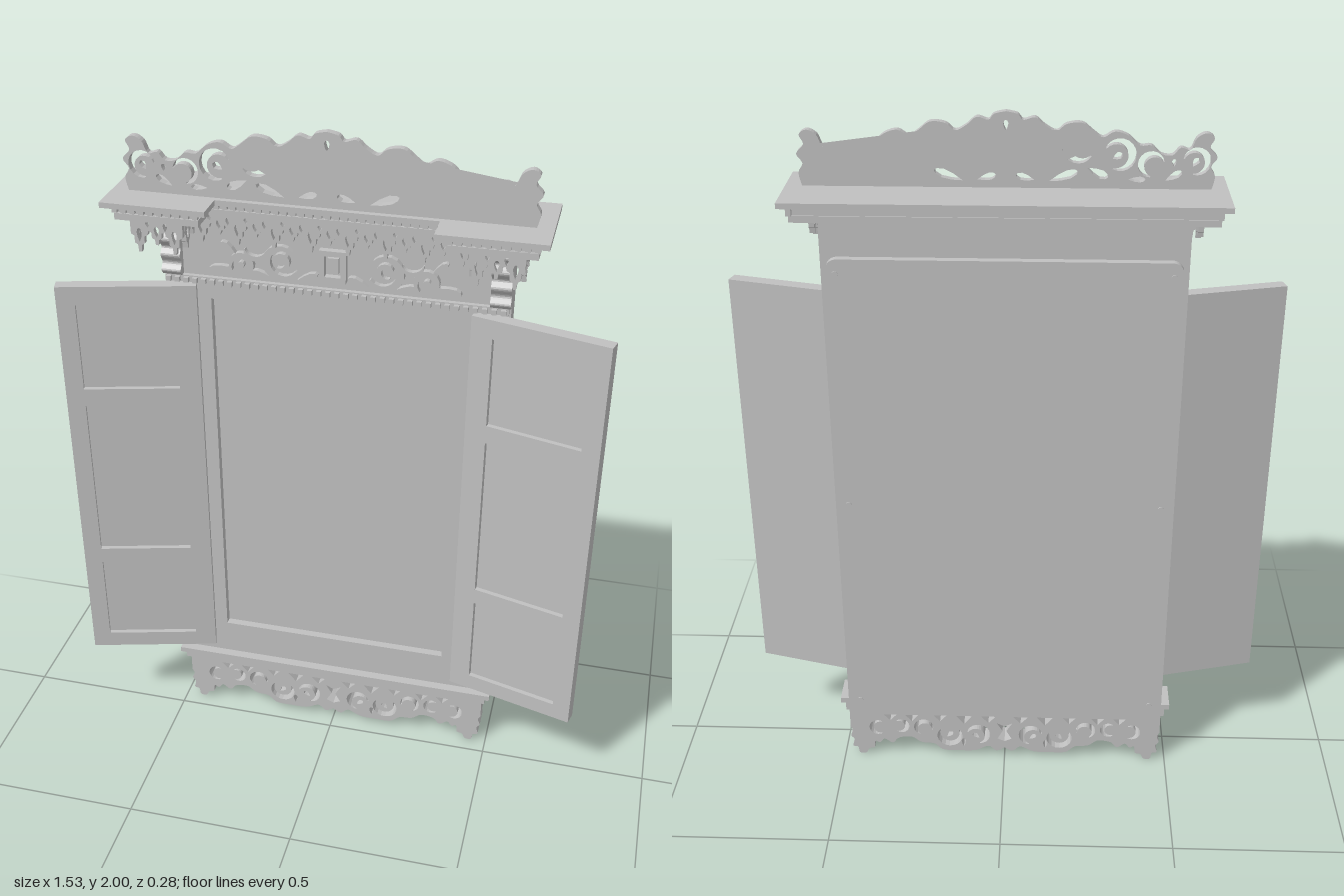
import * as THREE from 'three';

const grey = new THREE.MeshStandardMaterial({ color: 0xc0c0c0 });
grey.name = 'plain grey';

const V = (x, y) => new THREE.Vector2(x, y);
const flip = (pts) => pts.map((p) => V(-p.x, p.y)).reverse();

function add(parent, name, geo) {
  const m = new THREE.Mesh(geo, grey);
  m.name = name;
  parent.add(m);
  return m;
}

// Box given by its limits
function block(parent, name, x0, x1, y0, y1, z0, z1) {
  const g = new THREE.BoxGeometry(x1 - x0, y1 - y0, z1 - z0);
  return add(parent, name, g.translate((x0 + x1) / 2, (y0 + y1) / 2, (z0 + z1) / 2));
}

// Flat board cut from an outline, with holes, between two depths
function board(outline, holes, z0, z1) {
  const s = new THREE.Shape(outline);
  holes.forEach((h) => s.holes.push(new THREE.Path(h)));
  return new THREE.ExtrudeGeometry(s, { depth: z1 - z0, bevelEnabled: false }).translate(0, 0, z0);
}

const rect = (x0, x1, y0, y1) => [V(x0, y0), V(x1, y0), V(x1, y1), V(x0, y1)];
const smooth = (pts, n) => new THREE.SplineCurve(pts.map((p) => V(p[0], p[1]))).getPoints(n);

// Tapered curl, angles in degrees
function curl(cx, cy, r, a0, a1, w) {
  const out = [], back = [];
  for (let i = 0; i <= 14; i++) {
    const t = i / 14, a = THREE.MathUtils.degToRad(a0 + (a1 - a0) * t);
    const h = (w / 2) * (0.15 + 0.85 * Math.sin(Math.PI * t));
    out.push(V(cx + (r + h) * Math.cos(a), cy + (r + h) * Math.sin(a)));
    back.unshift(V(cx + (r - h) * Math.cos(a), cy + (r - h) * Math.sin(a)));
  }
  return out.concat(back);
}

// Pointed leaf along a direction
function leaf(cx, cy, len, w, deg) {
  const a = THREE.MathUtils.degToRad(deg), c = Math.cos(a), s = Math.sin(a);
  return [[-0.5, 0], [-0.15, -0.35], [0.2, -0.5], [0.42, -0.3], [0.5, 0], [0.42, 0.3], [0.2, 0.5], [-0.15, 0.35]]
    .map(([u, v]) => V(cx + u * len * c - v * w * s, cy + u * len * s + v * w * c));
}
const tri = (x, y, w, h) => [V(x - w / 2, y), V(x, y - h), V(x + w / 2, y)];
const mirrored = (list) => list.flatMap((h) => [h, flip(h)]);

// Hanging fringe: row of stepped drops with a small eyelet in each
function fringe(x0, x1, yTop, count, drops, z0, z1) {
  const p = [V(x0, yTop)], holes = [], w = (x1 - x0) / count;
  for (let i = 0; i < count; i++) {
    const a = x0 + i * w, d = drops[i % drops.length];
    [[0.02, 0.5], [0.2, 0.55], [0.22, 0.75], [0.38, 0.8], [0.42, 1], [0.58, 1], [0.62, 0.8], [0.78, 0.75], [0.8, 0.55], [0.98, 0.5]]
      .forEach(([u, v]) => p.push(V(a + u * w, yTop - v * d)));
    holes.push(leaf(a + w / 2, yTop - d * 0.52, d * 0.4, w * 0.3, 90));
    if (i) holes.push(leaf(a, yTop - d * 0.25, d * 0.25, w * 0.25, 90));
  }
  p.push(V(x1, yTop));
  return board(p, holes, z0, z1);
}

// Cornice plan: a slab with two projecting ends
function cornicePlan(inset, y0, y1) {
  const X = 0.58 - inset, N = 0.295 + inset, F = 0.135 - inset, M = 0.05 - inset, B = -0.14 + inset * 0.5;
  const p = [[-X, B], [-X, F], [-N, F], [-N, M], [N, M], [N, F], [X, F], [X, B]].map(([x, z]) => V(x, -z));
  return board(p, [], y0, y1).rotateX(-Math.PI / 2);
}

function makeDoor(side) {
  const door = new THREE.Group();
  door.name = side > 0 ? 'leftDoor' : 'rightDoor';
  const W = 0.388, r = (a, b, c, d) => (side > 0 ? rect(a, b, c, d) : rect(-b, -a, c, d));
  const panes = [[0.31, 0.59], [0.64, 1.145], [1.2, 1.465]].map(([a, b]) => r(0.062, 0.336, a, b));
  add(door, 'doorFrame', board(r(0, W, 0.26, 1.52), panes, 0.024, 0.038));
  add(door, 'doorPanel', board(r(0, W, 0.26, 1.52), [], 0, 0.024));
  door.position.set(side * 0.39, 0, -0.048);
  door.rotation.y = -side * Math.PI / 12;
  return door;
}

export function createModel() {
  const model = new THREE.Group();
  model.name = 'carvedCabinet';

  // Case: front frame, recessed field and back board
  add(model, 'frontFrame', board(rect(-0.48, 0.48, 0.215, 1.75), [rect(-0.35, 0.345, 0.325, 1.47)], -0.068, -0.045));
  block(model, 'caseBody', -0.48, 0.48, 0.215, 1.75, -0.112, -0.068);
  const backShape = new THREE.Shape();
  const bx = 0.465, b0 = 0.19, b1 = 1.65, br = 0.03;
  backShape.moveTo(-bx + br, b0).lineTo(bx - br, b0);
  backShape.absarc(bx - br, b0 + br, br, -Math.PI / 2, 0);
  backShape.absarc(bx - br, b1 - br, br, 0, Math.PI / 2);
  backShape.absarc(-bx + br, b1 - br, br, Math.PI / 2, Math.PI);
  backShape.absarc(-bx + br, b0 + br, br, Math.PI, Math.PI * 1.5);
  add(model, 'backBoard', new THREE.ExtrudeGeometry(backShape, { depth: 0.022, bevelEnabled: false, curveSegments: 6 }).translate(0, 0, -0.134));
  for (const x of [-0.44, 0.44]) for (const y of [0.23, 0.92, 1.61]) {
    add(model, 'screw', new THREE.CylinderGeometry(0.008, 0.008, 0.004, 12).rotateX(Math.PI / 2).translate(x, y, -0.135));
  }
  model.add(makeDoor(1), makeDoor(-1));

  // Lower ledge
  block(model, 'ledgeTop', -0.505, 0.505, 0.198, 0.215, -0.112, -0.018);
  block(model, 'ledgeBottom', -0.49, 0.49, 0.172, 0.198, -0.112, -0.03);

  // Pierced apron with feet
  const low = smooth([[0, 0.035], [0.025, 0.022], [0.05, 0.04], [0.09, 0.022], [0.14, 0.02], [0.19, 0.022], [0.22, 0.045], [0.26, 0.05],
    [0.29, 0.07], [0.33, 0.065], [0.35, 0.045], [0.375, 0.06], [0.39, 0.045], [0.405, 0.05], [0.408, 0.025], [0.425, 0.02], [0.435, 0.003],
    [0.455, 0.003], [0.46, 0.025], [0.475, 0.03], [0.47, 0.055], [0.48, 0.07], [0.473, 0.09], [0.48, 0.105]], 90);
  const apronEdge = [...flip(low), ...low.slice(1), V(0.48, 0.172), V(-0.48, 0.172)];
  const apronHoles = mirrored([
    curl(0.085, 0.082, 0.032, 20, 255, 0.02), curl(0.17, 0.082, 0.034, 150, 395, 0.02),
    curl(0.25, 0.105, 0.026, -60, 190, 0.016), curl(0.325, 0.112, 0.022, 60, 300, 0.014), curl(0.39, 0.105, 0.024, -110, 110, 0.014),
    leaf(0.088, 0.08, 0.026, 0.016, 40), leaf(0.17, 0.083, 0.026, 0.016, 130), leaf(0.127, 0.052, 0.03, 0.014, 90),
    tri(0.05, 0.155, 0.045, 0.025), tri(0.125, 0.155, 0.05, 0.03), tri(0.2, 0.155, 0.04, 0.022),
    tri(0.288, 0.155, 0.04, 0.024), tri(0.355, 0.155, 0.04, 0.022),
  ]).concat([[V(-0.024, 0.13), V(-0.006, 0.1), V(-0.022, 0.07), V(0, 0.06), V(0.022, 0.07), V(0.006, 0.1), V(0.024, 0.13), V(0, 0.118)]]);
  add(model, 'apron', board(apronEdge, apronHoles, -0.112, -0.045));

  // Frieze: toothed moulding, scroll relief and centre tablet
  block(model, 'friezeMoulding', -0.475, 0.475, 1.52, 1.54, -0.045, -0.032);
  for (let i = 0; i < 38; i++) {
    const x = -0.463 + i * 0.025;
    block(model, 'friezeTooth', x - 0.007, x + 0.007, 1.523, 1.537, -0.033, -0.02);
  }
  const relief = [
    curl(0.14, 1.605, 0.044, -150, 130, 0.022), curl(0.145, 1.607, 0.02, 20, 300, 0.014),
    curl(0.255, 1.585, 0.03, -30, 230, 0.018), curl(0.215, 1.64, 0.03, 200, 350, 0.014),
    leaf(0.07, 1.57, 0.06, 0.02, 160), leaf(0.32, 1.572, 0.06, 0.02, -15), leaf(0.255, 1.585, 0.025, 0.02, 90),
    leaf(0.2, 1.567, 0.06, 0.016, 10), leaf(0.29, 1.635, 0.05, 0.018, 35),
  ];
  mirrored(relief).forEach((p) => add(model, 'friezeScroll', board(p, [], -0.046, -0.028)));
  add(model, 'tabletFrame', board(rect(-0.037, 0.037, 1.565, 1.655), [rect(-0.022, 0.022, 1.58, 1.64)], -0.046, -0.025));
  block(model, 'tabletCentre', -0.015, 0.015, 1.588, 1.632, -0.046, -0.033);

  // Corbels at both ends of the frieze
  const wave = smooth([[-0.03, 1.54], [-0.018, 1.555], [-0.03, 1.575], [-0.018, 1.6], [-0.03, 1.62], [-0.012, 1.645],
    [-0.022, 1.67], [0, 1.69], [-0.005, 1.715], [0.015, 1.745]], 45);
  for (const x of [0.48, -0.425]) {
    const g = board([V(-0.05, 1.54), ...wave, V(-0.05, 1.745)], [], 0, 0.055);
    add(model, 'corbel', g.rotateY(-Math.PI / 2).translate(x, 0, 0));
  }

  // Hanging fringes below the cornice
  add(model, 'centreFringe', fringe(-0.375, 0.375, 1.748, 15, [0.085, 0.06], -0.005, 0.01));
  for (const s of [-1, 1]) {
    const f = add(model, 'endFringe', fringe(-0.0725, 0.0725, 1.748, 3, [0.098, 0.075], 0.068, 0.083));
    f.position.x = s * 0.4475;
    for (const x of [0.5125, 0.3825]) {
      const g = fringe(-0.03, 0.068, 1.748, 2, [0.07, 0.09], -0.0075, 0.0075);
      add(model, 'sideFringe', g.rotateY(-Math.PI / 2).translate(s * x, 0, 0));
    }
  }

  // Cornice slab, stepped soffit and dentils
  add(model, 'corniceSlab', cornicePlan(0, 1.785, 1.8));
  add(model, 'corniceCore', cornicePlan(0.035, 1.763, 1.785));
  add(model, 'corniceSoffit', cornicePlan(0.028, 1.745, 1.763));
  const dentil = (x, z) => block(model, 'dentil', x - 0.007, x + 0.007, 1.766, 1.785, z - 0.007, z + 0.007);
  for (let i = 0; i < 27; i++) dentil(-0.3 + i * 0.6 / 26, 0.02);
  for (const s of [-1, 1]) {
    for (let i = 0; i < 10; i++) dentil(s * (0.33 + i * 0.0243), 0.105);
    for (let i = 0; i < 10; i++) dentil(s * 0.549, 0.08 - i * 0.0235);
    for (let i = 0; i < 3; i++) dentil(s * 0.325, 0.08 - i * 0.0235);
  }

  // Pierced crest
  const top = smooth([[0, 2], [0.03, 1.993], [0.045, 1.978], [0.075, 1.985], [0.1, 1.965], [0.13, 1.95], [0.155, 1.968], [0.195, 1.972],
    [0.225, 1.95], [0.25, 1.935], [0.28, 1.95], [0.315, 1.94], [0.345, 1.915], [0.375, 1.915], [0.4, 1.893], [0.43, 1.89], [0.45, 1.91],
    [0.475, 1.905], [0.49, 1.935], [0.515, 1.948], [0.535, 1.935], [0.525, 1.91], [0.545, 1.885], [0.53, 1.86], [0.542, 1.835], [0.535, 1.8]], 100);
  const crestEdge = [...flip(top).map((p) => p), ...top.slice(1)];
  const crestHoles = mirrored([
    curl(0.095, 1.892, 0.042, -60, 190, 0.024), curl(0.192, 1.91, 0.037, 60, 320, 0.022), curl(0.29, 1.888, 0.037, -110, 150, 0.022),
    curl(0.38, 1.862, 0.03, 20, 260, 0.02), curl(0.49, 1.872, 0.032, -100, 165, 0.018),
    leaf(0.092, 1.888, 0.03, 0.02, 30), leaf(0.193, 1.908, 0.03, 0.02, 140), leaf(0.288, 1.886, 0.028, 0.02, 30), leaf(0.49, 1.872, 0.026, 0.018, 60),
    leaf(0.05, 1.828, 0.05, 0.02, 165), leaf(0.15, 1.832, 0.08, 0.024, 20), leaf(0.238, 1.842, 0.06, 0.024, -25),
    leaf(0.34, 1.825, 0.045, 0.016, 0), leaf(0.435, 1.835, 0.05, 0.02, 30), leaf(0.435, 1.87, 0.02, 0.012, 90),
    leaf(0.026, 1.935, 0.04, 0.014, 62), leaf(0.026, 1.885, 0.035, 0.013, 90),
  ]).concat([leaf(0, 1.963, 0.03, 0.014, 90), leaf(0, 1.905, 0.03, 0.012, 90), leaf(0, 1.86, 0.025, 0.012, 90)]);
  add(model, 'crest', board(crestEdge, crestHoles, 0.012, 0.034));

  return model;
}
